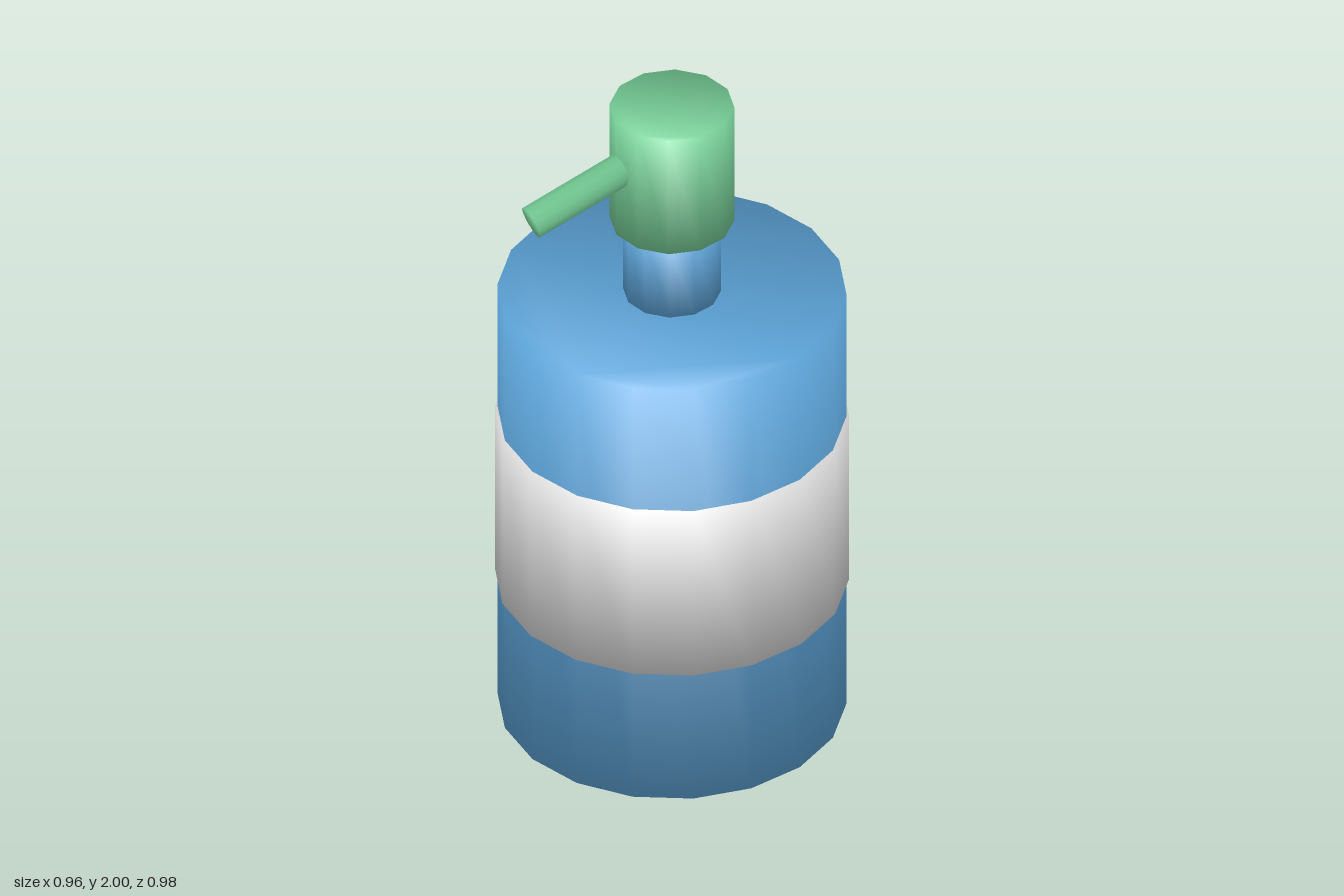
import * as THREE from 'three';

// Regular prism standing on y = 0, with a corner on the z axis and
// normals blended smoothly from the side onto the end faces.
function prism(radius, height, sides) {
  const points = [];
  for (let i = 0; i < sides; i++) {
    const a = (-i / sides) * Math.PI * 2;
    points.push(new THREE.Vector2(Math.sin(a) * radius, Math.cos(a) * radius));
  }
  const geometry = new THREE.ExtrudeGeometry(new THREE.Shape(points), { depth: height, bevelEnabled: false });
  geometry.rotateX(-Math.PI / 2);
  geometry.clearGroups();
  const position = geometry.attributes.position;
  const normal = new THREE.Vector3();
  for (let i = 0; i < position.count; i++) {
    const end = position.getY(i) > height / 2 ? 1 : -1;
    normal.set(position.getX(i) / radius, end, position.getZ(i) / radius).normalize();
    geometry.attributes.normal.setXYZ(i, normal.x, normal.y, normal.z);
  }
  return geometry;
}

function material(name, color) {
  const m = new THREE.MeshStandardMaterial({ color });
  m.name = name;
  return m;
}

export function createModel() {
  const model = new THREE.Group();
  model.name = 'soapDispenser';

  const blue = material('blue', 0x5da5da);
  const white = material('white', 0xdddddd);
  const green = material('green', 0x77d098);

  function add(name, geometry, mat, x, y) {
    const mesh = new THREE.Mesh(geometry, mat);
    mesh.name = name;
    mesh.position.set(x, y, 0);
    model.add(mesh);
    return mesh;
  }

  // Bottle with a wide plain band
  add('bottle', prism(0.481, 1.38, 18), blue, 0, 0);
  add('labelBand', prism(0.488, 0.55, 18), white, 0, 0.42);

  // Pump
  add('neck', prism(0.135, 0.25, 12), blue, 0, 1.38);
  add('pumpHead', prism(0.172, 0.38, 12), green, 0, 1.62);

  // Spout slopes down to the model's right
  const spout = add('spout', prism(0.048, 0.33, 12), green, -0.435, 1.745);
  spout.rotation.z = THREE.MathUtils.degToRad(18 - 90);

  return model;
}
